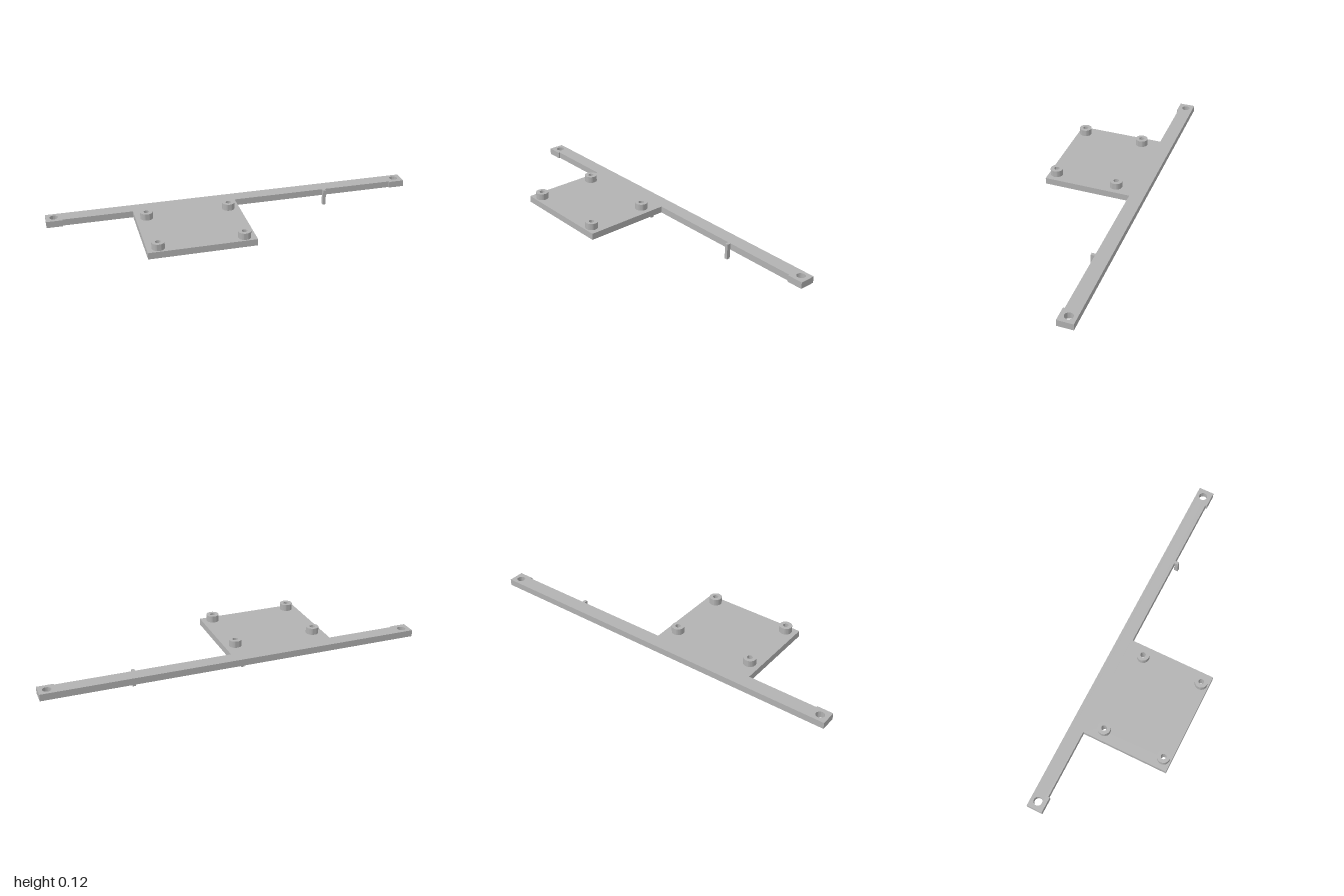
import * as THREE from 'three';
import { toCreasedNormals } from 'three/addons/utils/BufferGeometryUtils.js';

const BOTTOM = 0.05, DECK = 0.085, TOP = 0.12;

// Extrudes an outline drawn in (x, z) downwards from y = 0
function slab(shape, depth) {
  const geometry = new THREE.ExtrudeGeometry(shape, { depth, bevelEnabled: false, curveSegments: 32 });
  geometry.rotateX(Math.PI / 2);
  return toCreasedNormals(geometry, 0.6);
}

function circle(PathType, x, z, radius) {
  const path = new PathType();
  path.absarc(x, z, radius, 0, Math.PI * 2, false);
  return path;
}

export function createModel() {
  const group = new THREE.Group();
  const grey = new THREE.MeshStandardMaterial({ color: 0xb2b2b2 });
  grey.name = 'plain grey';

  const add = (name, geometry, x, y, z) => {
    const mesh = new THREE.Mesh(geometry, grey);
    mesh.name = name;
    mesh.position.set(x, y, z);
    group.add(mesh);
  };

  const standoffs = [];
  for (const x of [-0.487, -0.047]) for (const z of [-0.104, 0.231]) standoffs.push([x, z]);

  // Long bar with wider end pads and the square board, as one plate
  const outline = [
    [-1, -0.272], [1, -0.272], [1, -0.188], [0.915, -0.188], [0.915, -0.196],
    [0.012, -0.196], [0.012, 0.272], [-0.545, 0.272], [-0.545, -0.196],
    [-0.915, -0.196], [-0.915, -0.188], [-1, -0.188],
  ];
  const plate = new THREE.Shape(outline.map(([x, z]) => new THREE.Vector2(x, z)));
  for (const x of [-0.957, 0.957]) plate.holes.push(circle(THREE.Path, x, -0.232, 0.022));
  for (const [x, z] of standoffs) plate.holes.push(circle(THREE.Path, x, z, 0.014));
  add('mountingPlate', slab(plate, DECK - BOTTOM), 0, DECK, 0);

  // Hollow standoffs on the board corners
  const ring = circle(THREE.Shape, 0, 0, 0.033);
  ring.holes.push(circle(THREE.Path, 0, 0, 0.014));
  const ringGeometry = slab(ring, TOP - DECK);
  for (const [x, z] of standoffs) add('standoff', ringGeometry, x, TOP, z);

  // Locating pins: one under the board, one on the front edge of the bar
  add('boardPin', new THREE.BoxGeometry(0.016, BOTTOM, 0.018), -0.055, BOTTOM / 2, -0.184);
  add('barPin', new THREE.BoxGeometry(0.016, DECK, 0.021), 0.523, DECK / 2, -0.1855);

  return group;
}
